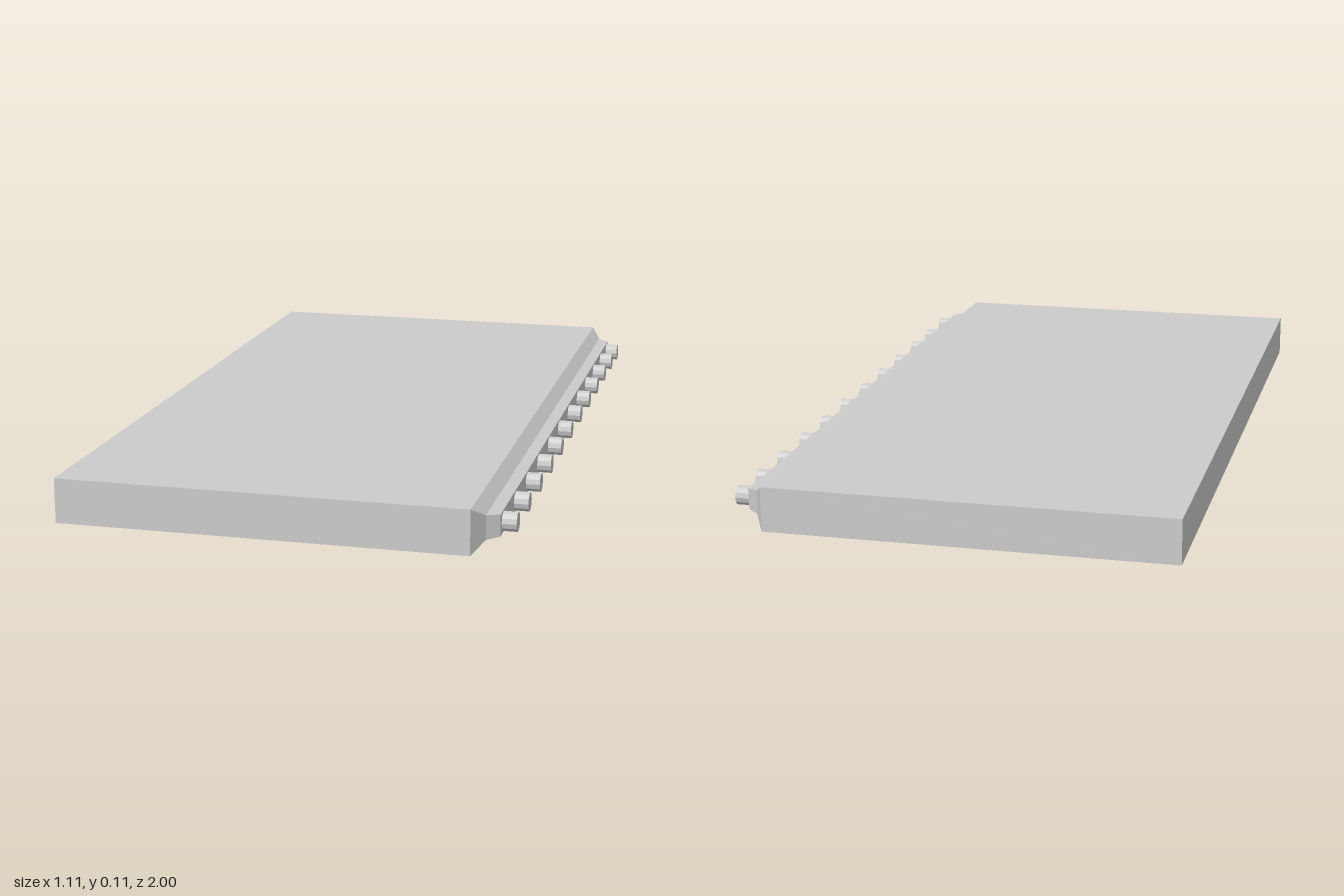
import * as THREE from 'three';

const MID_Y = 0.056;
const material = new THREE.MeshStandardMaterial({ color: 0xcccccc, flatShading: true });

// Loft rectangular cross-sections [x, halfHeight, halfDepth] along +x, capped at both ends
function loftRects(sections) {
  const points = [];
  const index = [];
  for (const [x, h, d] of sections) {
    points.push(x, MID_Y - h, d, x, MID_Y - h, -d, x, MID_Y + h, -d, x, MID_Y + h, d);
  }
  const quad = (a, b, c, d) => index.push(a, b, c, a, c, d);
  for (let s = 0; s < sections.length - 1; s++) {
    for (let i = 0; i < 4; i++) {
      const a = s * 4 + i;
      const b = s * 4 + (i + 1) % 4;
      quad(a, b, b + 4, a + 4);
    }
  }
  const e = (sections.length - 1) * 4;
  quad(3, 2, 1, 0);
  quad(e, e + 1, e + 2, e + 3);
  const indexed = new THREE.BufferGeometry();
  indexed.setAttribute('position', new THREE.Float32BufferAttribute(points, 3));
  indexed.setIndex(index);
  const geometry = indexed.toNonIndexed();
  geometry.computeVertexNormals();
  return geometry;
}

export function createModel() {
  const model = new THREE.Group();
  model.name = 'pinnedPanel';

  // Flat panel with its edge stepping in to a narrow rail
  const panel = new THREE.Mesh(loftRects([
    [-0.555, 0.056, 1],
    [0.463, 0.056, 1],
    [0.49, 0.03, 0.953],
    [0.52, 0.027, 0.93],
  ]), material);
  panel.name = 'panel';
  model.add(panel);

  // Row of short round pins along the rail
  const pins = new THREE.Group();
  pins.name = 'pins';
  const pinGeometry = new THREE.CylinderGeometry(0.024, 0.024, 0.045, 12).rotateZ(-Math.PI / 2);
  const pinZ = [-0.907, -0.773, -0.616, -0.452, -0.286, -0.115, 0.058, 0.228, 0.398, 0.567, 0.732, 0.892];
  for (const z of pinZ) {
    const pin = new THREE.Mesh(pinGeometry, material);
    pin.name = 'pin';
    pin.position.set(0.5325, MID_Y, z);
    pins.add(pin);
  }
  model.add(pins);
  return model;
}
